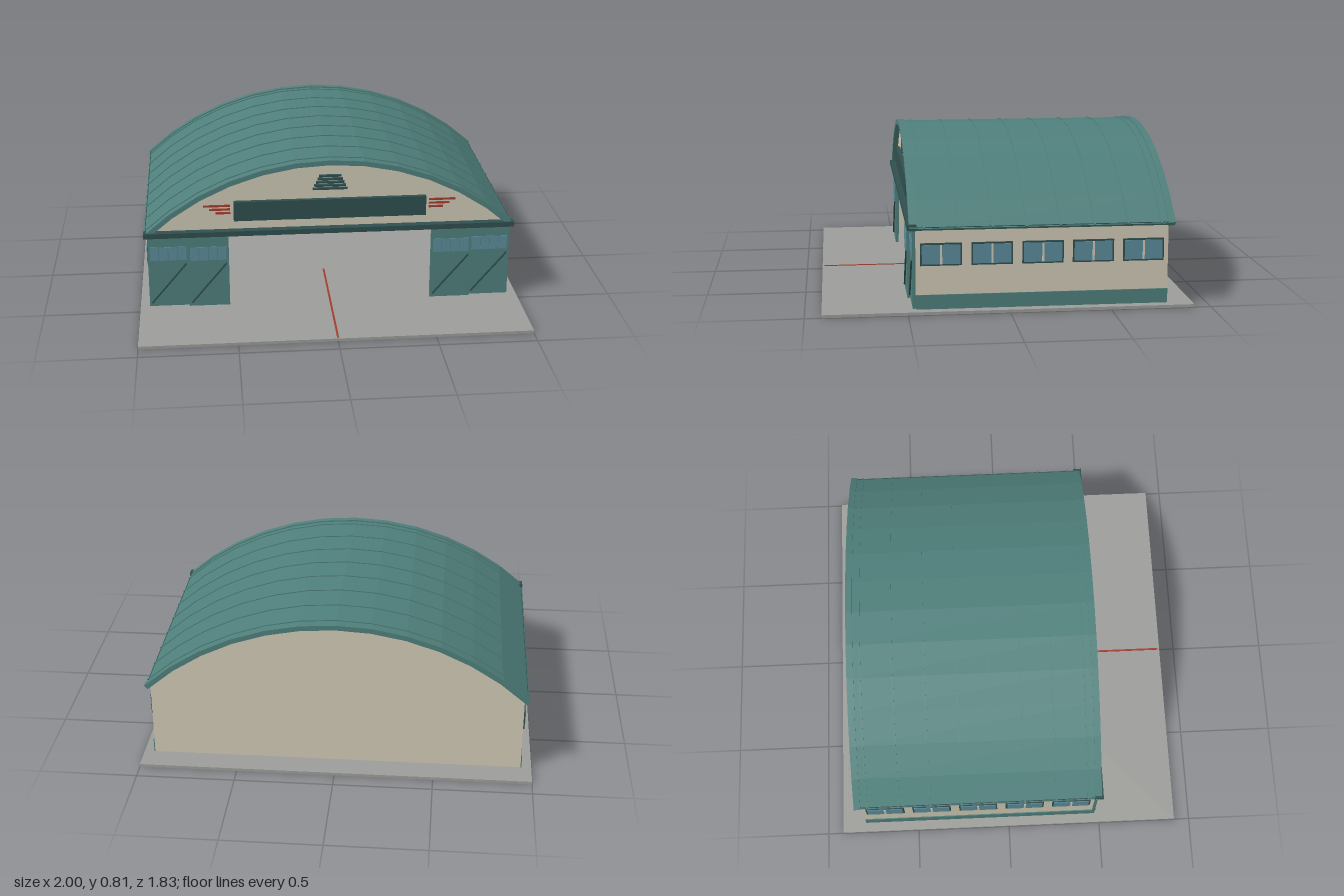
import * as THREE from 'three';

const mat = (name, color) => {
  const m = new THREE.MeshStandardMaterial({ color });
  m.name = name;
  return m;
};

export function createModel() {
  const cream = mat('cream wall', 0xcfc9b5);
  const teal = mat('teal metal', 0x4f7f7b);
  const dark = mat('dark teal trim', 0x2f4f4e);
  const glass = mat('blue glass', 0x5b8c9a);
  const concrete = mat('grey concrete', 0x9c9d99);
  const red = mat('red paint', 0xa23c2e);

  const model = new THREE.Group();
  model.name = 'hangar';

  const add = (name, geometry, material, parent = model) => {
    const mesh = new THREE.Mesh(geometry, material);
    mesh.name = name;
    parent.add(mesh);
    return mesh;
  };
  // Box given by its limits on each axis
  const box = (name, material, [x0, x1], [y0, y1], [z0, z1], parent) => {
    const mesh = add(name, new THREE.BoxGeometry(x1 - x0, y1 - y0, z1 - z0), material, parent);
    mesh.position.set((x0 + x1) / 2, (y0 + y1) / 2, (z0 + z1) / 2);
    return mesh;
  };
  const group = (name) => {
    const g = new THREE.Group();
    g.name = name;
    model.add(g);
    return g;
  };

  // Vaulted roof: a circular arc in twelve flat facets
  const centreY = -0.604, halfAngle = 0.756, facets = 12;
  const arc = (r) => Array.from({ length: facets + 1 }, (_, i) => {
    const a = -halfAngle + (2 * halfAngle * i) / facets;
    return new THREE.Vector2(r * Math.sin(a), centreY + r * Math.cos(a));
  });
  const extrude = (points, z0, z1) => new THREE.ExtrudeGeometry(new THREE.Shape(points),
    { depth: z1 - z0, bevelEnabled: false }).translate(0, 0, z0);
  const band = (name, material, r0, r1, z0, z1, parent) =>
    add(name, extrude([...arc(r1), ...arc(r0).reverse()], z0, z1), material, parent);

  // Apron and guide line
  box('apron', concrete, [-1, 1], [0, 0.015], [-0.917, 0.917]);
  box('guideLine', red, [-0.005, 0.005], [0.015, 0.018], [0.08, 0.907]);

  // Roof shell, end trims and ribs
  const roof = group('roof');
  band('roofShell', teal, 1.393, 1.408, -0.79, 0.46, roof);
  band('frontRoofTrim', teal, 1.389, 1.415, 0.455, 0.49, roof);
  band('backRoofTrim', teal, 1.389, 1.415, -0.82, -0.785, roof);
  for (let i = 0; i < 8; i++) {
    const z = 0.418 - i * 0.167;
    band('roofRib', teal, 1.4, 1.413, z - 0.005, z + 0.005, roof);
  }

  // Gable ends
  const gable = arc(1.394).filter((p) => p.y > 0.42);
  gable.unshift(new THREE.Vector2(-0.943, 0.42));
  gable.push(new THREE.Vector2(0.943, 0.42));
  add('frontGable', extrude(gable, 0.44, 0.46), cream);
  add('backGable', extrude(gable, -0.79, -0.77), cream);

  // Back wall
  box('backWall', cream, [-0.945, 0.945], [0.015, 0.42], [-0.79, -0.77]);

  // Side walls with plinth, eave and windows
  for (const s of [-1, 1]) {
    const side = group(s > 0 ? 'leftSide' : 'rightSide');
    const span = (a, b) => (s > 0 ? [a, b] : [-b, -a]);
    box('sideWall', cream, span(0.925, 0.945), [0.015, 0.42], [-0.77, 0.46], side);
    box('plinth', teal, span(0.945, 0.95), [0.015, 0.087], [-0.79, 0.46], side);
    box('eave', dark, span(0.935, 0.962), [0.413, 0.427], [-0.79, 0.46], side);
    for (let i = 0; i < 5; i++) {
      const z = 0.335 - i * 0.25;
      box('windowFrame', dark, span(0.945, 0.953), [0.233, 0.345], [z - 0.102, z + 0.102], side);
      box('windowPane', glass, span(0.952, 0.956), [0.241, 0.337], [z - 0.094, z + 0.094], side);
      box('windowMullion', cream, span(0.952, 0.958), [0.241, 0.337], [z - 0.005, z + 0.005], side);
    }
  }

  // Door header
  box('doorHeader', dark, [-0.967, 0.967], [0.413, 0.44], [0.455, 0.5]);

  // Sliding door leaves: the outer pair runs behind the inner pair
  const leaf = (x0, z0) => {
    const door = group('doorLeaf');
    const x1 = x0 + 0.212, z1 = z0 + 0.015;
    box('doorPanel', teal, [x0, x1], [0.02, 0.415], [z0, z1], door);
    for (let i = 0; i < 4; i++) {
      const x = x0 + 0.011 + i * 0.048;
      box('doorPane', glass, [x, x + 0.045], [0.28, 0.355], [z1, z1 + 0.003], door);
    }
    const dx = 0.185, dy = 0.22;
    const brace = add('doorBrace', new THREE.BoxGeometry(Math.hypot(dx, dy), 0.008, 0.008), dark, door);
    brace.position.set((x0 + x1) / 2, 0.15, z1 + 0.004);
    brace.rotation.z = Math.atan2(dy, dx);
  };
  leaf(-0.95, 0.46);
  leaf(-0.742, 0.475);
  leaf(0.53, 0.475);
  leaf(0.738, 0.46);

  // Blank sign board
  box('signBoard', dark, [-0.5, 0.5], [0.49, 0.595], [0.46, 0.483]);

  // Tapering louvre vent
  const vent = group('gableVent');
  for (let i = 0; i < 5; i++) {
    const w = 0.09 - i * 0.008, y = 0.65 + i * 0.0175;
    box('ventSlat', dark, [-w, w], [y - 0.005, y + 0.005], [0.46, 0.475], vent);
  }

  // Speed stripes on both sides of the sign
  const stripes = group('gableStripes');
  for (const s of [-1, 1]) {
    [0.655, 0.625, 0.592].forEach((end, i) => {
      const y = 0.57 - i * 0.02;
      const x = s > 0 ? [0.517, end] : [-end, -0.517];
      box('stripe', red, x, [y - 0.005, y + 0.005], [0.46, 0.467], stripes);
    });
  }

  return model;
}
